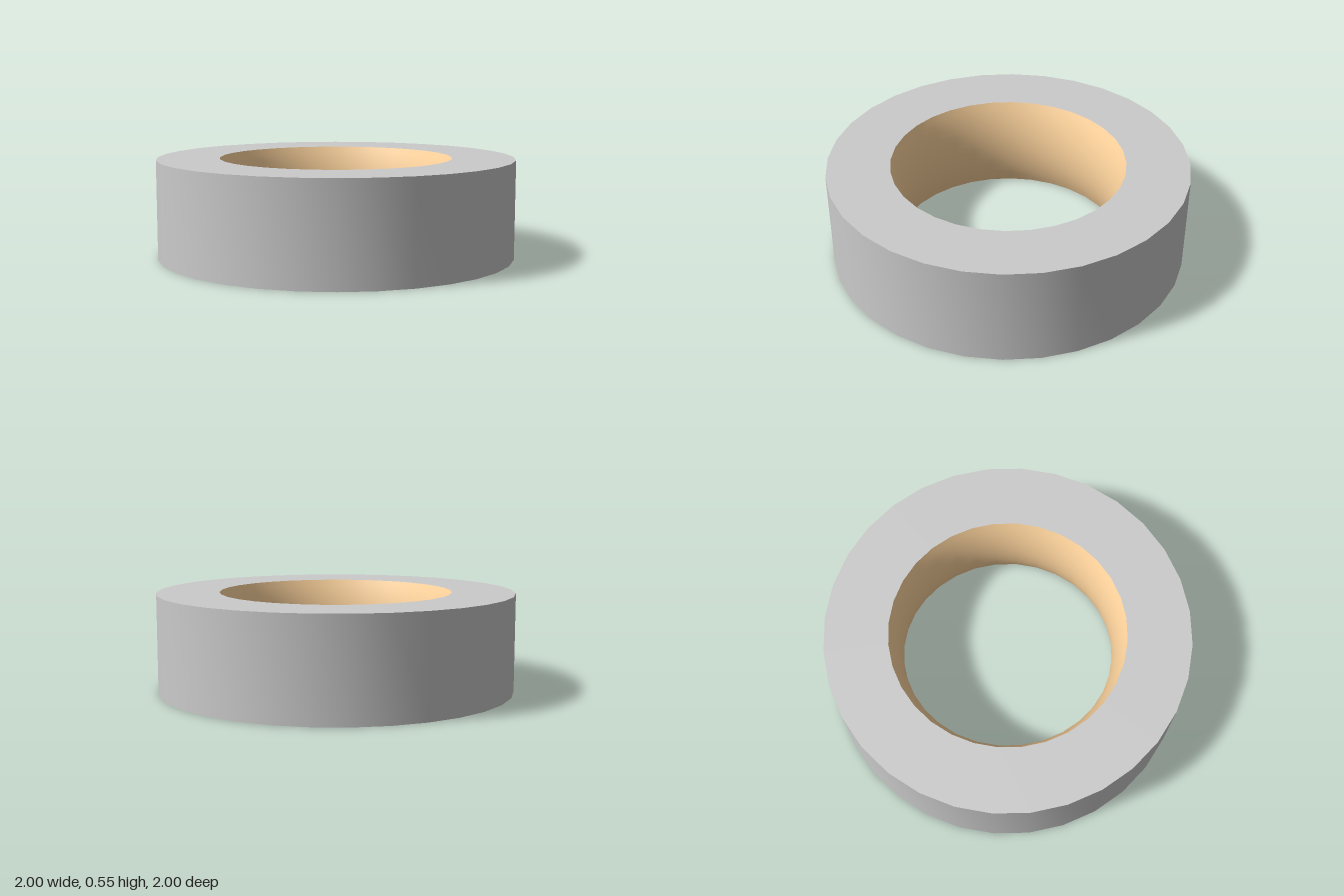
import * as THREE from 'three';
import { toCreasedNormals } from 'three/addons/utils/BufferGeometryUtils.js';

const SEGMENTS = 32;
const HEIGHT = 0.55;
const OUTER = 1;
const BORE = 0.65;   // bore radius at both rims
const WAIST = 0.59;  // narrowest radius, at mid height

export function createModel() {
  const group = new THREE.Group();
  group.name = 'ring';

  // Outer wall with flat top and bottom faces, sharp at the rims
  const bodyProfile = [
    [BORE, 0], [OUTER, 0], [OUTER, HEIGHT], [BORE, HEIGHT],
  ].map(([r, y]) => new THREE.Vector2(r, y));
  const body = new THREE.Mesh(
    toCreasedNormals(new THREE.LatheGeometry(bodyProfile, SEGMENTS), 0.6),
    new THREE.MeshStandardMaterial({ color: 0xcccccc })
  );
  body.name = 'outerBody';
  group.add(body);

  // Inner lining: a circular arc bulging towards the axis, run top to bottom
  const half = HEIGHT / 2;
  const bulge = BORE - WAIST;
  const arcRadius = (half * half + bulge * bulge) / (2 * bulge);
  const sweep = Math.asin(half / arcRadius);
  const liningProfile = [];
  const steps = 16;
  for (let i = 0; i <= steps; i++) {
    const a = sweep * (1 - (2 * i) / steps);
    liningProfile.push(new THREE.Vector2(
      WAIST + arcRadius * (1 - Math.cos(a)),
      half + arcRadius * Math.sin(a)
    ));
  }
  const lining = new THREE.Mesh(
    new THREE.LatheGeometry(liningProfile, SEGMENTS),
    new THREE.MeshStandardMaterial({ color: 0xffd59e })
  );
  lining.name = 'innerLining';
  group.add(lining);

  return group;
}
